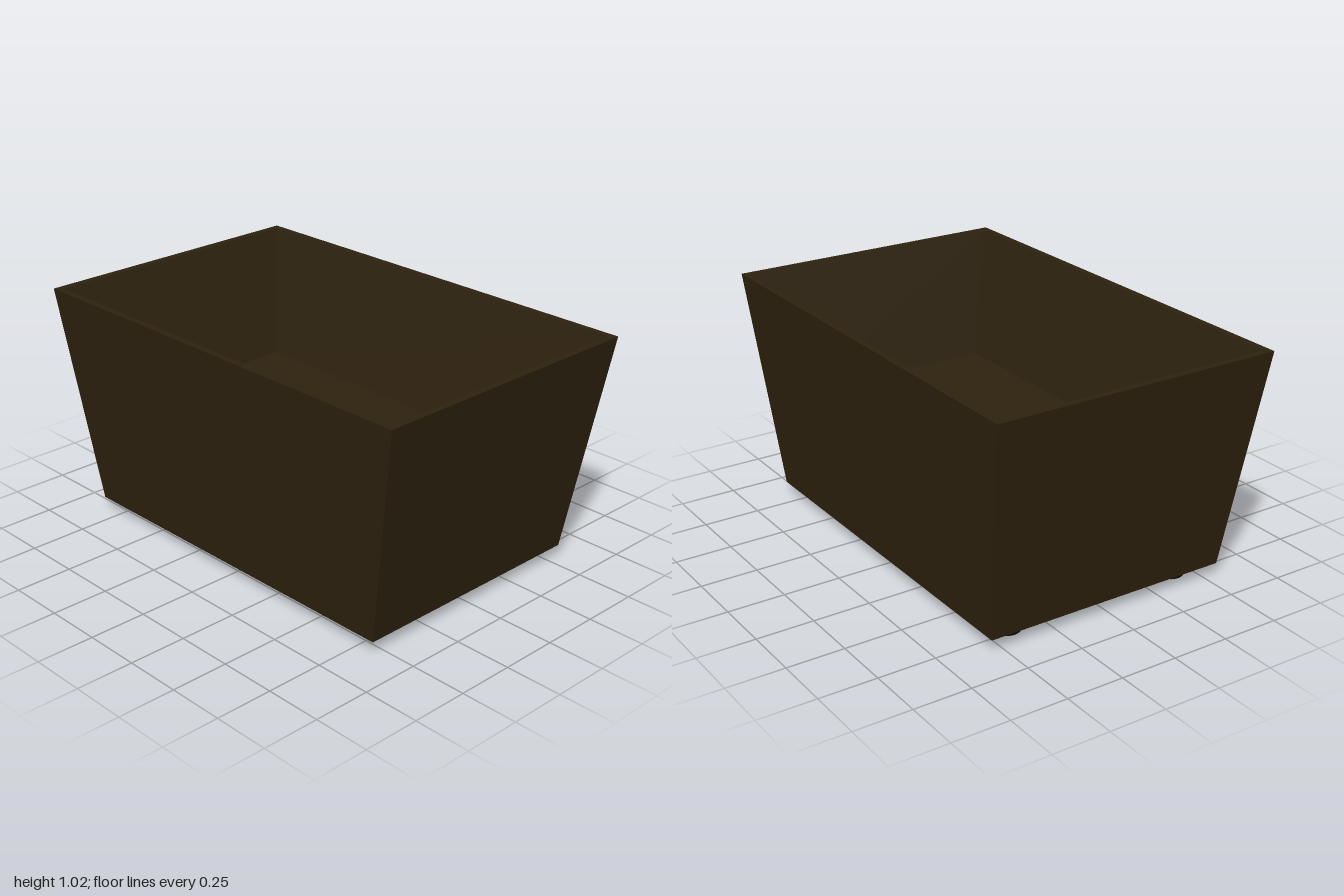
import * as THREE from 'three';

const wood = new THREE.MeshStandardMaterial({ color: 0x2e220f });
wood.name = 'dark wood';
const rubber = new THREE.MeshStandardMaterial({ color: 0x0a0a0a });
rubber.name = 'black rubber';

// Rectangular cross-sections joined into flat panels, with the first and last ones capped
function rectLoft(sections) {
  const rings = sections.map(([x, y, z]) => [[x, y, z], [x, y, -z], [-x, y, -z], [-x, y, z]]);
  const pos = [];
  const quad = (a, b, c, d) => pos.push(...a, ...b, ...c, ...a, ...c, ...d);
  for (let i = 0; i < rings.length - 1; i++) {
    const lo = rings[i], hi = rings[i + 1];
    for (let k = 0; k < 4; k++) {
      const n = (k + 1) % 4;
      quad(lo[k], lo[n], hi[n], hi[k]);
    }
  }
  const first = rings[0], last = rings[rings.length - 1];
  quad(first[3], first[2], first[1], first[0]);
  quad(last[0], last[1], last[2], last[3]);
  const geo = new THREE.BufferGeometry();
  geo.setAttribute('position', new THREE.Float32BufferAttribute(pos, 3));
  geo.computeVertexNormals();
  return geo;
}

export function createModel() {
  const model = new THREE.Group();
  model.name = 'planter';

  // Tapered box: underside, outer walls, rim, inner walls, raised inner floor
  const box = new THREE.Mesh(rectLoft([
    [0.84, 0.056, 0.555],
    [1.0, 1.02, 0.64],
    [0.97, 1.02, 0.61],
    [0.81, 0.48, 0.452],
  ]), wood);
  box.name = 'planterBox';
  model.add(box);

  // Four short round feet
  const footGeo = new THREE.CylinderGeometry(0.06, 0.06, 0.058, 24);
  for (const x of [-0.715, 0.685]) {
    for (const z of [-0.405, 0.41]) {
      const foot = new THREE.Mesh(footGeo, rubber);
      foot.name = 'foot';
      foot.position.set(x, 0.029, z);
      model.add(foot);
    }
  }
  return model;
}
